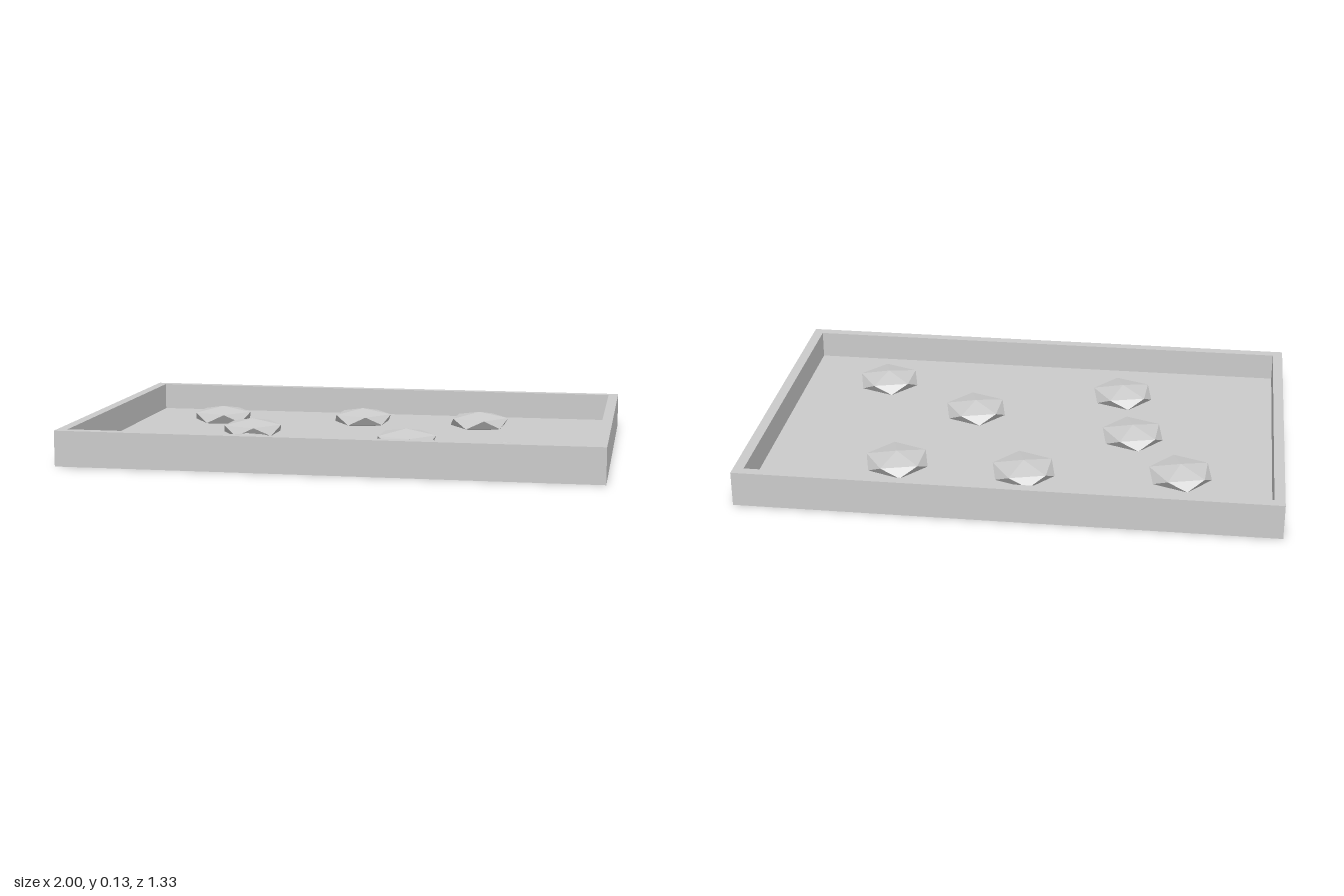
import * as THREE from 'three';

const WIDTH = 2, DEPTH = 1.333, HEIGHT = 0.133;
const WALL = 0.039, FLOOR = 0.027;

export function createModel() {
  const group = new THREE.Group();
  const material = new THREE.MeshStandardMaterial({ color: 0xcccccc, flatShading: true });

  function addBox(name, w, h, d, x, y, z) {
    const mesh = new THREE.Mesh(new THREE.BoxGeometry(w, h, d), material);
    mesh.name = name;
    mesh.position.set(x, y, z);
    group.add(mesh);
  }

  // Tray floor, inset between the walls
  addBox('trayFloor', WIDTH - 2 * WALL, FLOOR, DEPTH - 2 * WALL, 0, FLOOR / 2, 0);

  // Rectangular wall frame, extruded upwards
  const rect = (Type, w, d) => new Type([
    new THREE.Vector2(-w / 2, -d / 2), new THREE.Vector2(w / 2, -d / 2),
    new THREE.Vector2(w / 2, d / 2), new THREE.Vector2(-w / 2, d / 2),
  ]);
  const outline = rect(THREE.Shape, WIDTH, DEPTH);
  outline.holes.push(rect(THREE.Path, WIDTH - 2 * WALL, DEPTH - 2 * WALL));
  const frame = new THREE.ExtrudeGeometry(outline, { depth: HEIGHT, bevelEnabled: false });
  frame.rotateX(-Math.PI / 2);
  const walls = new THREE.Mesh(frame, material);
  walls.name = 'trayWalls';
  group.add(walls);

  // Flattened low-poly stones, each with a corner pointing up, sunk a little into the floor
  const stone = new THREE.IcosahedronGeometry(0.132, 0);
  stone.rotateZ(-Math.atan(2 / (1 + Math.sqrt(5))));
  stone.rotateY(-0.05);
  stone.scale(1, 0.3, 1);
  stone.computeVertexNormals();
  const spots = [
    [-0.62, -0.315], [-0.035, -0.355], [0.45, -0.34], [-0.42, -0.01],
    [0.22, 0.135], [-0.355, 0.35], [0.62, 0.37],
  ];
  spots.forEach(([x, z], i) => {
    const mesh = new THREE.Mesh(stone, material);
    mesh.name = `stone${i + 1}`;
    mesh.position.set(x, 0.052, z);
    group.add(mesh);
  });

  return group;
}
